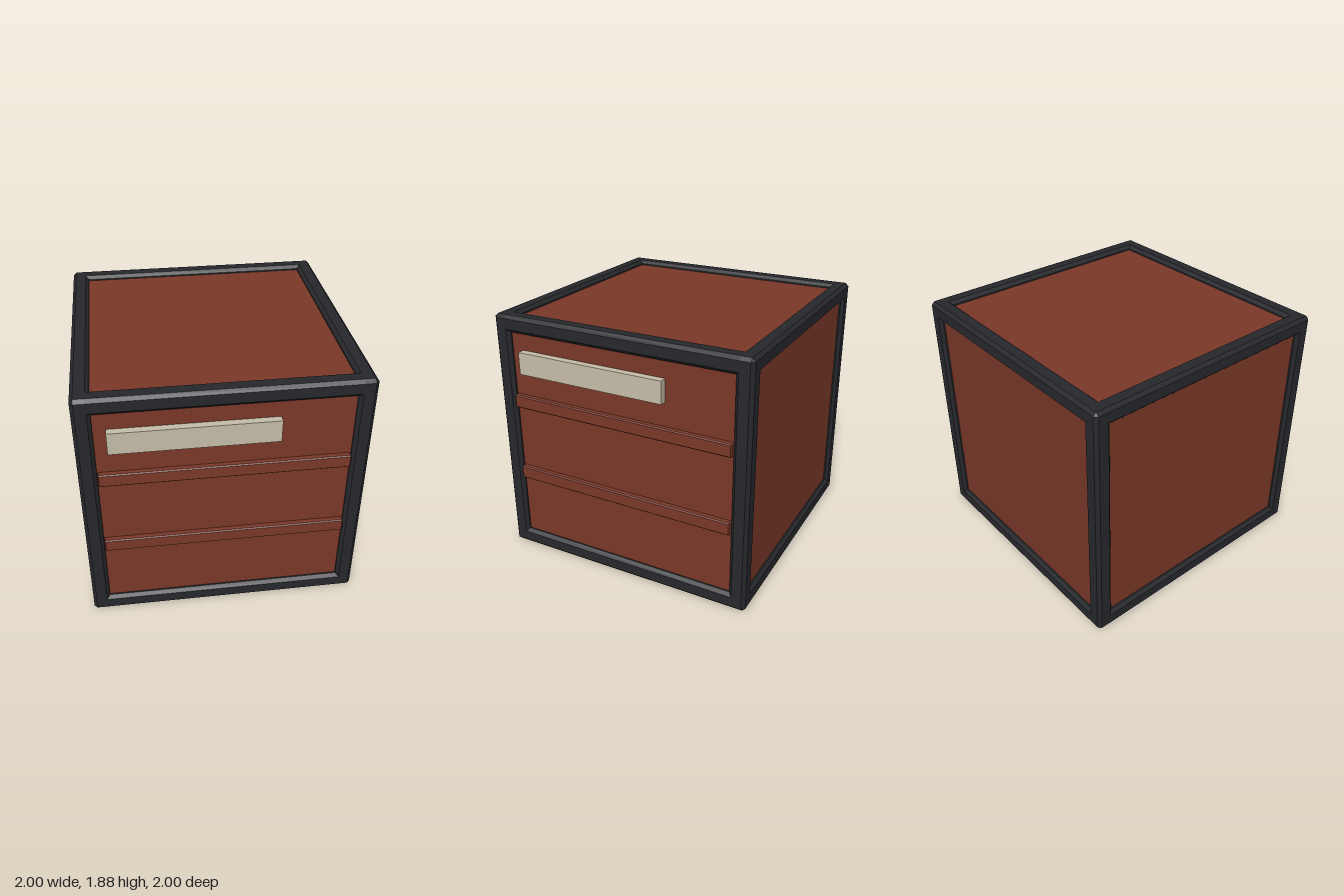
import * as THREE from 'three';
import { ConvexGeometry } from 'three/addons/geometries/ConvexGeometry.js';

const frameMat = new THREE.MeshStandardMaterial({ color: 0x26282c, flatShading: true });
const panelMat = new THREE.MeshStandardMaterial({ color: 0x7a3828, flatShading: true });
const labelMat = new THREE.MeshStandardMaterial({ color: 0xc5bda9, flatShading: true });

// Box with every edge chamfered by c
function chamferBox(w, h, d, c) {
  const pts = [];
  for (const x of [-1, 1]) for (const y of [-1, 1]) for (const z of [-1, 1]) {
    for (let a = 0; a < 3; a++) {
      const inset = [c, c, c];
      inset[a] = 0;
      pts.push(new THREE.Vector3(x * (w / 2 - inset[0]), y * (h / 2 - inset[1]), z * (d / 2 - inset[2])));
    }
  }
  return new ConvexGeometry(pts);
}

function add(parent, name, geometry, material, x, y, z) {
  const mesh = new THREE.Mesh(geometry, material);
  mesh.name = name;
  mesh.position.set(x, y, z);
  parent.add(mesh);
  return mesh;
}

export function createModel() {
  const model = new THREE.Group();
  model.name = 'crate';
  const W = 1.98, H = 1.88, B = 0.124, C = 0.024, RECESS = 0.035;

  // Frame, panels and trim are centred on the crate body
  const body = new THREE.Group();
  body.name = 'crateBody';
  body.position.set(-0.01, H / 2, -0.01);
  model.add(body);

  // Recessed panels on all six sides
  add(body, 'panels', new THREE.BoxGeometry(W - 2 * RECESS, H - 2 * RECESS, W - 2 * RECESS), panelMat, 0, 0, 0);

  // Twelve chamfered frame beams, four along each axis
  const frame = new THREE.Group();
  frame.name = 'frame';
  body.add(frame);
  const e = (W - B) / 2, f = (H - B) / 2;
  const beamX = chamferBox(W, B, B, C);
  const beamY = chamferBox(B, H, B, C);
  const beamZ = chamferBox(B, B, W, C);
  for (const a of [-1, 1]) for (const b of [-1, 1]) {
    add(frame, 'crossBeam', beamX, frameMat, 0, a * f, b * e);
    add(frame, 'cornerPost', beamY, frameMat, a * e, 0, b * e);
    add(frame, 'sideBeam', beamZ, frameMat, a * e, b * f, 0);
  }

  // Slats and a blank label plate, on the front and the left side
  const slat = chamferBox(1.726, 0.098, 0.08, 0.008);
  const plate = new THREE.BoxGeometry(1.145, 0.165, 0.06);
  for (const side of ['front', 'left']) {
    const trim = new THREE.Group();
    trim.name = side + 'Trim';
    if (side === 'left') trim.rotation.y = Math.PI / 2;
    body.add(trim);
    for (const y of [0.65, 1.238]) add(trim, 'slat', slat, panelMat, 0, y - H / 2, 0.956);
    add(trim, 'labelPlate', plate, labelMat, -0.209, 1.548 - H / 2, 0.978);
  }
  return model;
}
